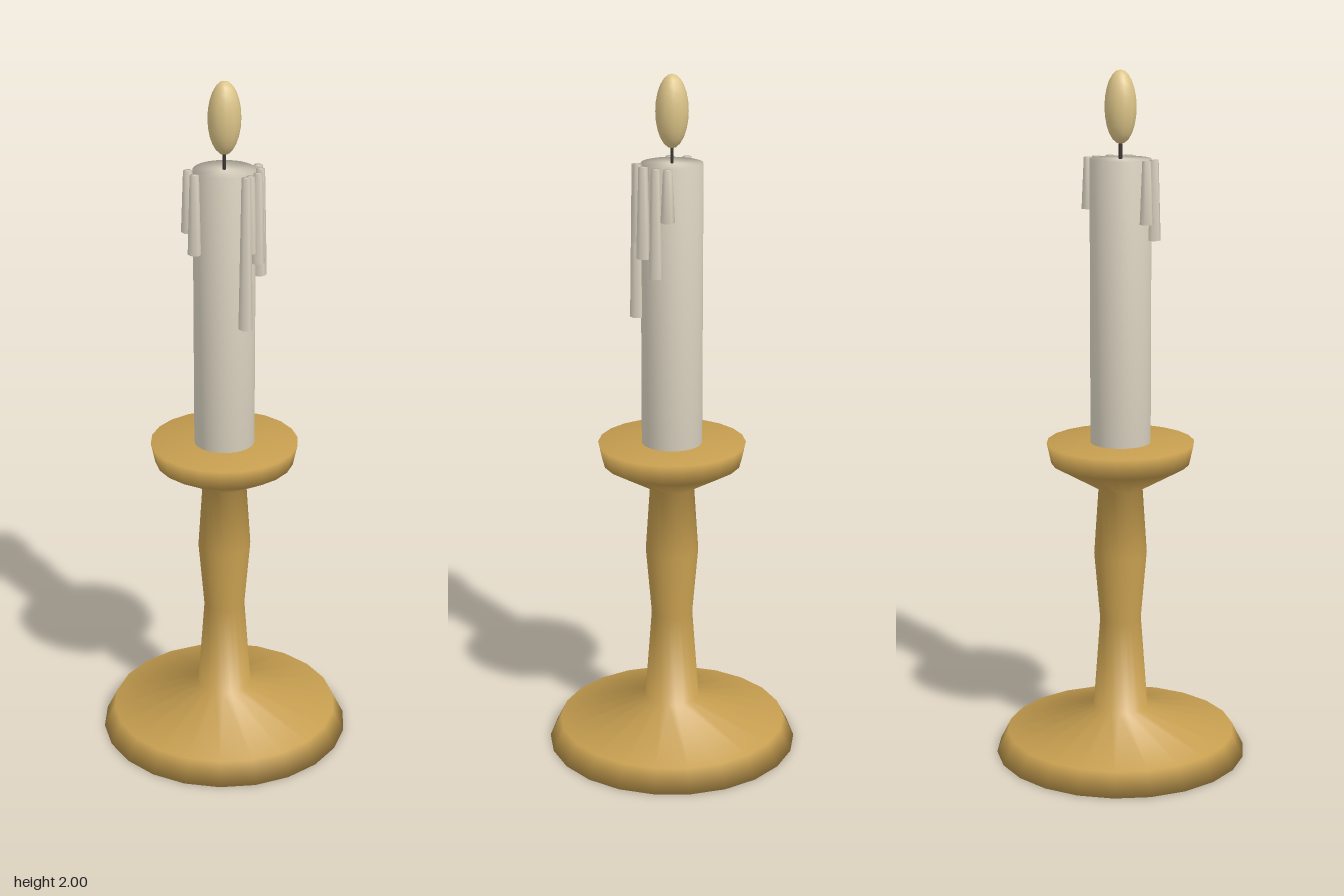
import * as THREE from 'three';

const mat = (name, color) => new THREE.MeshStandardMaterial({ name, color });

// Smooth turned part; profile runs from the bottom centre to the top centre
function turned(name, profile, sides, material) {
  const points = profile.map(([r, y]) => new THREE.Vector2(r, y));
  const mesh = new THREE.Mesh(new THREE.LatheGeometry(points, sides, Math.PI / 2), material);
  mesh.name = name;
  return mesh;
}

export function createModel() {
  const brass = mat('brass', 0xc59d4f);
  const wax = mat('wax', 0xdcd4c2);
  const wickBlack = mat('wick black', 0x3a3632);
  const flameYellow = mat('flame yellow', 0xdcc488);

  const group = new THREE.Group();
  group.name = 'candlestick';

  // Foot, stem and cup in one turned piece
  group.add(turned('holder', [
    [0, 0], [0.368, 0], [0.335, 0.066], [0.08, 0.137], [0.06, 0.41],
    [0.077, 0.61], [0.064, 0.805], [0.2, 0.883], [0.213, 0.943], [0, 0.943],
  ], 22, brass));

  // Candle body
  const top = 1.755;
  group.add(turned('candle', [[0, 0.94], [0.087, 0.94], [0.087, top], [0, top]], 28, wax));

  // Wax drips: x, z and lower end
  const drips = [
    [0.05, 0.085, 1.32], [0.062, 0.075, 1.54], [0.087, 0.047, 1.50], [0.098, 0.004, 1.45],
    [0.096, -0.031, 1.61], [-0.1, 0, 1.58], [-0.086, 0.045, 1.53],
  ];
  for (const [x, z, low] of drips) {
    const drip = turned('drip', [[0, low], [0.02, low], [0.013, top], [0, top]], 6, wax);
    drip.position.set(x, 0, z);
    group.add(drip);
  }

  // Wick
  group.add(turned('wick', [[0, 1.74], [0.005, 1.74], [0.005, 1.83], [0, 1.83]], 8, wickBlack));

  // Flame
  const flame = new THREE.Mesh(new THREE.SphereGeometry(1, 12, 12), flameYellow);
  flame.name = 'flame';
  flame.scale.set(0.046, 0.102, 0.046);
  flame.position.y = 1.898;
  group.add(flame);

  return group;
}
